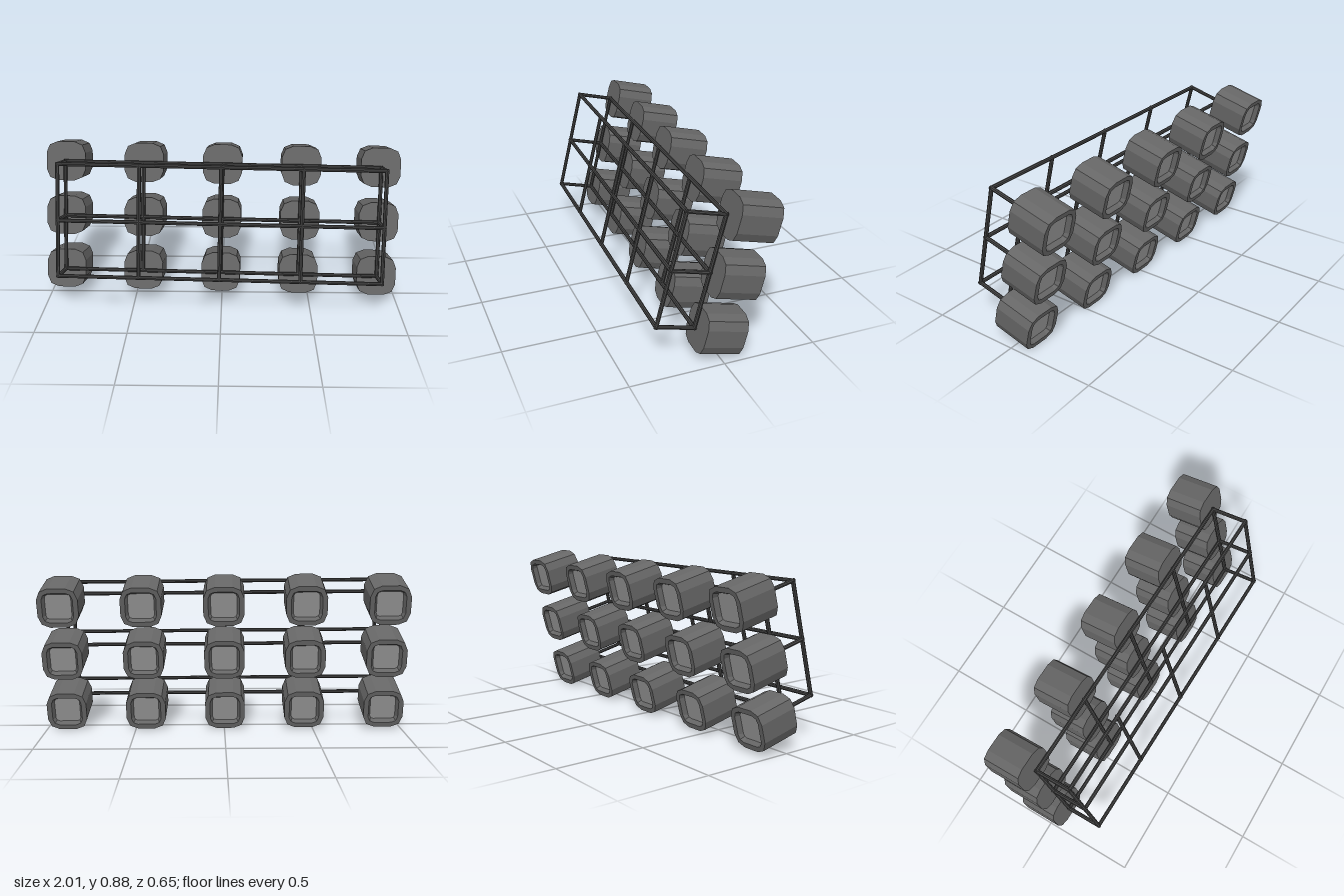
import * as THREE from 'three';

const PITCH_X = 0.443, PITCH_Y = 0.308;
const COLS = [-2, -1, 0, 1, 2], ROWS = [-1, 0, 1];
const FRONT_Z = 0.333, BACK_Z = 0.127;

const mat = (color) => new THREE.MeshStandardMaterial({ color, flatShading: true });

// Rounded square outline, counter-clockwise, two facets per corner
function outline(half, r) {
  const pts = [];
  for (let k = 0; k < 4; k++) {
    const mid = Math.PI / 4 + k * Math.PI / 2;
    const cx = Math.sign(Math.cos(mid)) * (half - r), cy = Math.sign(Math.sin(mid)) * (half - r);
    for (let s = 0; s < 3; s++) {
      const a = k * Math.PI / 2 + s * Math.PI / 4;
      pts.push(new THREE.Vector2(cx + r * Math.cos(a), cy + r * Math.sin(a)));
    }
  }
  return pts;
}

// Housing: cross-sections from the closed front to the recessed opening
function housingGeometry() {
  const rings = [[0.11, 0.063, 0.11], [0.11, 0.063, -0.11], [0.083, 0.035, -0.11], [0.07, 0.02, -0.085]];
  const pos = [0, 0, 0.11], idx = [], n = 12;
  for (const [half, r, z] of rings) for (const p of outline(half, r)) pos.push(p.x, p.y, z);
  for (let j = 0; j < n; j++) {
    const k = (j + 1) % n;
    idx.push(0, 1 + j, 1 + k);
    for (let i = 0; i < rings.length - 1; i++) {
      const a = 1 + i * n + j, b = 1 + i * n + k;
      idx.push(a, a + n, b, b, a + n, b + n);
    }
  }
  const g = new THREE.BufferGeometry();
  g.setAttribute('position', new THREE.Float32BufferAttribute(pos, 3));
  g.setIndex(idx);
  const flat = g.toNonIndexed();
  flat.computeVertexNormals();
  return flat;
}

export function createModel() {
  const model = new THREE.Group();
  model.name = 'floodlightBank';
  const bank = new THREE.Group();
  bank.name = 'tiltedBank';
  model.add(bank);

  // Lamps in a 5 x 3 grid
  const housingGeo = housingGeometry();
  const lensGeo = new THREE.ShapeGeometry(new THREE.Shape(outline(0.07, 0.02)));
  lensGeo.rotateY(Math.PI).translate(0, 0, -0.085);
  const housingMat = mat(0x666666), lensMat = mat(0x999999), frameMat = mat(0x444444);
  for (const r of ROWS) for (const c of COLS) {
    const lamp = new THREE.Group();
    lamp.name = 'lamp';
    const housing = new THREE.Mesh(housingGeo, housingMat);
    housing.name = 'lampHousing';
    const lens = new THREE.Mesh(lensGeo, lensMat);
    lens.name = 'lampLens';
    lamp.add(housing, lens);
    lamp.position.set(c * PITCH_X, r * PITCH_Y, 0);
    bank.add(lamp);
  }

  // Frame of thin bars
  const frame = new THREE.Group();
  frame.name = 'frame';
  bank.add(frame);
  const up = new THREE.Vector3(0, 1, 0);
  const bar = (name, a, b) => {
    const p = new THREE.Vector3(...a), q = new THREE.Vector3(...b);
    const m = new THREE.Mesh(new THREE.CylinderGeometry(0.011, 0.011, p.distanceTo(q) + 0.016, 8), frameMat);
    m.position.copy(p).lerp(q, 0.5);
    m.quaternion.setFromUnitVectors(up, q.sub(p).normalize());
    m.name = name;
    frame.add(m);
  };
  const X = 2 * PITCH_X;
  for (const z of [FRONT_Z, BACK_Z]) {
    for (const r of ROWS) bar('rail', [-X, r * PITCH_Y, z], [X, r * PITCH_Y, z]);
    for (const c of COLS) bar('upright', [c * PITCH_X, -PITCH_Y, z], [c * PITCH_X, PITCH_Y, z]);
  }
  for (const x of [-X, X]) for (const r of ROWS) {
    bar('endBrace', [x, r * PITCH_Y, BACK_Z], [x, r * PITCH_Y, FRONT_Z]);
  }

  // Lean the whole bank, with a slight yaw and roll
  const ax = new THREE.Vector3(1, -0.0095, 0.022).normalize();
  const az = new THREE.Vector3().crossVectors(ax, new THREE.Vector3(0.0145, 0.97, -0.236)).normalize();
  const ay = new THREE.Vector3().crossVectors(az, ax);
  bank.quaternion.setFromRotationMatrix(new THREE.Matrix4().makeBasis(ax, ay, az));
  bank.position.set(0, 0.44, -0.102);
  return model;
}
